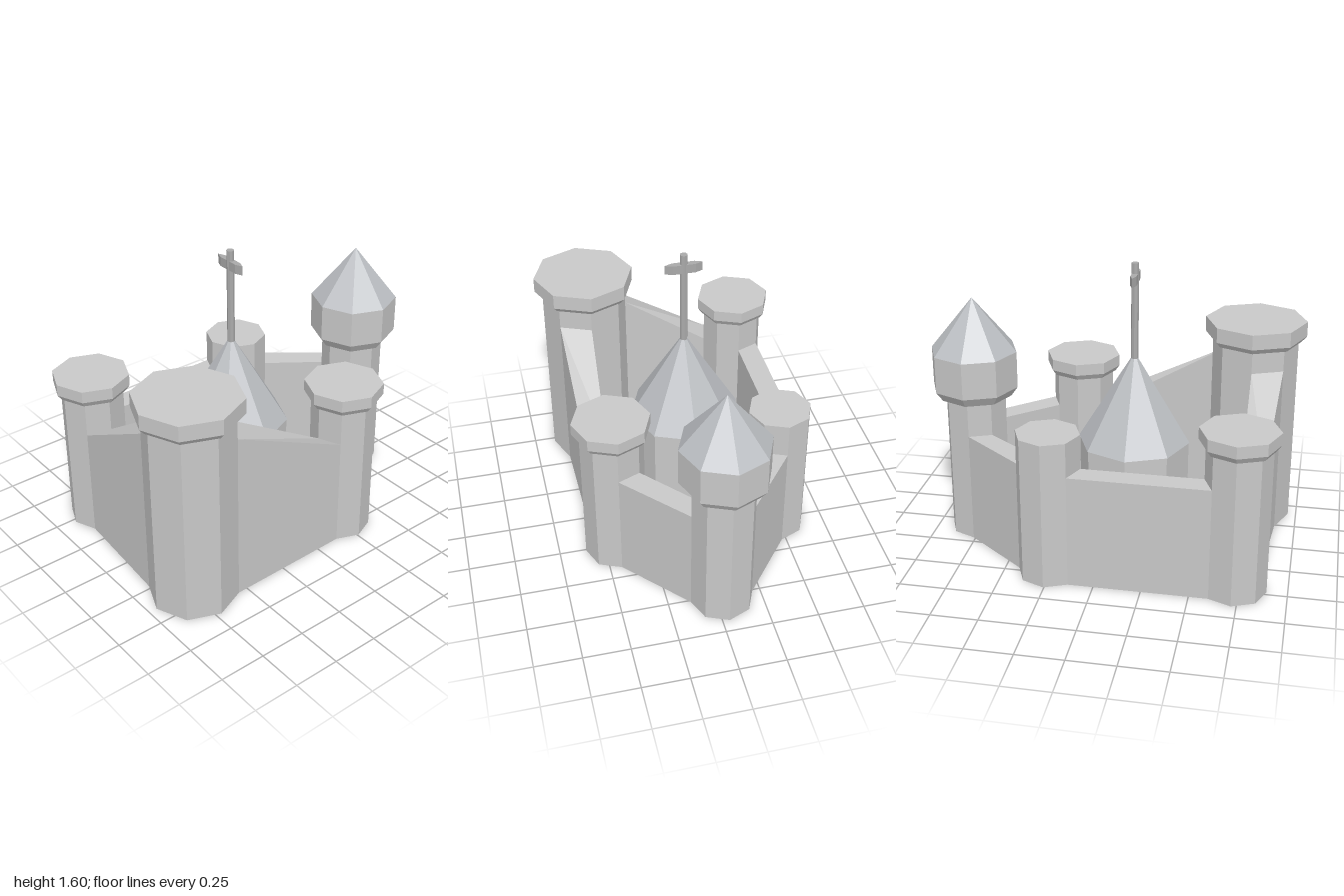
import * as THREE from 'three';

const stone = new THREE.MeshStandardMaterial({ color: 0xc8c8c8 });
stone.name = 'light grey stone';
const slate = new THREE.MeshStandardMaterial({ color: 0xbcbfc3 });
slate.name = 'blue grey slate';
const iron = new THREE.MeshStandardMaterial({ color: 0xaaaaaa });
iron.name = 'grey iron';

// Faceted mesh: every face gets its own normals
function facet(name, geometry, material) {
  const flat = geometry.index ? geometry.toNonIndexed() : geometry;
  flat.computeVertexNormals();
  const mesh = new THREE.Mesh(flat, material);
  mesh.name = name;
  return mesh;
}

// Eight-sided drum from y0 to y1, corners on the axes
function drum(name, r0, r1, y0, y1, material = stone) {
  const geo = r1 === 0
    ? new THREE.ConeGeometry(r0, y1 - y0, 8)
    : new THREE.CylinderGeometry(r1, r0, y1 - y0, 8);
  return facet(name, geo.translate(0, (y0 + y1) / 2, 0), material);
}

// Tower plans: centre, shaft radius and height, wall height at the tower
const towers = {
  greatTower: { x: -0.72, z: 0.4, r: 0.235, h: 1.07, wall: 0.95, cap: [0.253, 0.278, 1.1, 1.183] },
  frontTower: { x: 0.258, z: 0.435, r: 0.17, h: 0.81, wall: 0.62, cap: [0.185, 0.208, 0.842, 0.906] },
  spireTower: { x: 0.761, z: -0.038, r: 0.168, h: 0.81, wall: 0.62, cap: [0.2, 0.237, 0.862, 1.065], roof: 1.357 },
  plainTower: { x: 0.255, z: -0.475, r: 0.17, h: 0.81, wall: 0.62 },
  backTower: { x: -0.722, z: -0.475, r: 0.17, h: 0.81, wall: 0.62, cap: [0.185, 0.207, 0.842, 0.906] },
};

function makeTower(name, t) {
  const g = new THREE.Group();
  g.name = name;
  g.position.set(t.x, 0, t.z);
  g.add(drum('shaft', t.r, t.r, 0, t.h));
  if (t.cap) {
    const [r0, r1, y0, y1] = t.cap;
    g.add(drum('corbel', r0, r1, t.h, y0), drum('crown', r1, r1, y0, y1));
    if (t.roof) g.add(drum('roof', r1, 0, y1, t.roof, slate));
  }
  return g;
}

// Corner number i of a tower's octagon, counted from +x towards +z
function corner(t, i) {
  const a = (i * Math.PI) / 4;
  return [t.x + t.r * Math.cos(a), t.z + t.r * Math.sin(a)];
}

// Wall joining one face of tower a to one face of tower b
function makeWall(name, a, aOuter, aInner, b, bOuter, bInner) {
  const geo = new THREE.BoxGeometry(1, 1, 1);
  const p = geo.attributes.position;
  for (let i = 0; i < p.count; i++) {
    const atB = p.getX(i) > 0, outer = p.getZ(i) > 0;
    const t = atB ? b : a;
    const [x, z] = corner(t, atB ? (outer ? bOuter : bInner) : (outer ? aOuter : aInner));
    p.setXYZ(i, x, p.getY(i) > 0 ? t.wall : 0, z);
  }
  return facet(name, geo, stone);
}

export function createModel() {
  const model = new THREE.Group();
  model.name = 'castle';

  for (const [name, t] of Object.entries(towers)) model.add(makeTower(name, t));

  // Ring of curtain walls
  const { greatTower, frontTower, spireTower, plainTower, backTower } = towers;
  model.add(
    makeWall('frontWall', greatTower, 1, 0, frontTower, 3, 4),
    makeWall('frontLeftWall', frontTower, 0, 7, spireTower, 2, 3),
    makeWall('backLeftWall', spireTower, 6, 5, plainTower, 0, 1),
    makeWall('backWall', plainTower, 5, 4, backTower, 7, 0),
    makeWall('rightWall', backTower, 3, 2, greatTower, 5, 6),
  );

  // Chapel in the courtyard
  const chapel = new THREE.Group();
  chapel.name = 'chapel';
  chapel.position.set(-0.118, 0, -0.038);
  chapel.add(drum('chapelBody', 0.297, 0.297, 0, 0.61));
  chapel.add(drum('chapelRoof', 0.302, 0, 0.61, 1.11, slate));
  chapel.add(drum('crossPole', 0.02, 0.02, 1.05, 1.595, iron));

  // Cross arm with tapered ends
  const plan = [[0, -0.1], [0.016, -0.06], [0.016, 0.06], [0, 0.1], [-0.016, 0.06], [-0.016, -0.06]];
  const arm = new THREE.ExtrudeGeometry(
    new THREE.Shape(plan.map(([x, y]) => new THREE.Vector2(x, y))),
    { depth: 0.05, bevelEnabled: false },
  );
  arm.rotateX(-Math.PI / 2).translate(0, 1.49, 0);
  chapel.add(facet('crossArm', arm, iron));
  model.add(chapel);

  return model;
}
